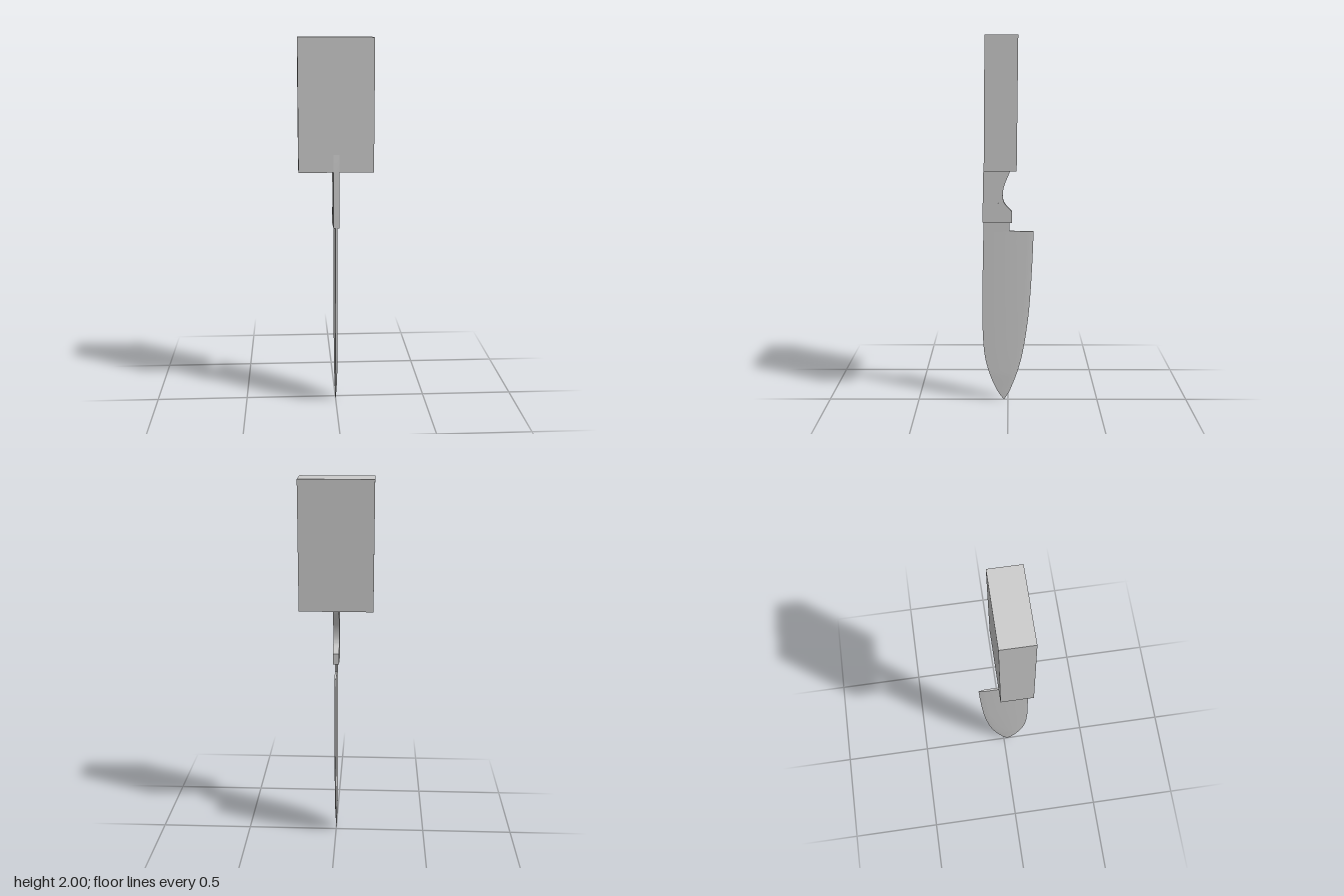
import * as THREE from 'three';
import { toCreasedNormals } from 'three/addons/utils/BufferGeometryUtils.js';

const material = new THREE.MeshStandardMaterial({ color: 0xcccccc });

function part(name, geometry) {
  const mesh = new THREE.Mesh(geometry, material);
  mesh.name = name;
  return mesh;
}

// Extrude a side outline drawn in (z, y), centred on x = 0
function sideExtrude(shape, thickness) {
  const g = new THREE.ExtrudeGeometry(shape, { depth: thickness, bevelEnabled: false, curveSegments: 12 });
  g.translate(0, 0, -thickness / 2);
  g.rotateY(-Math.PI / 2);
  return toCreasedNormals(g, 0.6);
}

// Blade: five-point cross-sections with a thin bevel along the cutting edge
function bladeGeometry() {
  const ys = [0.967, 0.8, 0.6, 0.45, 0.28, 0.17, 0.09, 0.04, 0];
  const spineZ = [0.133, 0.137, 0.14, 0.141, 0.132, 0.108, 0.078, 0.052, 0.023];
  const edgeZ = [-0.14, -0.134, -0.123, -0.109, -0.083, -0.055, -0.026, -0.004, 0.021];
  const curve = (zs) => new THREE.SplineCurve(ys.map((y, i) => new THREE.Vector2(zs[i], y)));
  const spine = curve(spineZ), edge = curve(edgeZ);
  const rows = 40, n = 5, pos = [], index = [];
  for (let i = 0; i <= rows; i++) {
    const s = spine.getPoint(i / rows), e = edge.getPoint(i / rows);
    const width = s.x - e.x;
    const t = Math.min(0.0055, 0.001 + width * 0.03);
    const bevel = Math.min(0.035, width * 0.4);
    const drop = i === 0 ? 0.006 : 0;
    pos.push(-t, s.y, s.x, -t, e.y - drop, e.x + bevel, 0, e.y - drop, e.x,
      t, e.y - drop, e.x + bevel, t, s.y, s.x);
  }
  for (let i = 0; i < rows; i++) {
    for (let j = 0; j < n; j++) {
      const k = (j + 1) % n;
      const a = i * n + j, b = a + n, c = i * n + k, d = c + n;
      index.push(a, c, b, c, d, b);
    }
  }
  for (let j = 1; j < n - 1; j++) index.push(0, j + 1, j);
  const g = new THREE.BufferGeometry();
  g.setAttribute('position', new THREE.Float32BufferAttribute(pos, 3));
  g.setIndex(index);
  return toCreasedNormals(g, 0.6);
}

export function createModel() {
  const model = new THREE.Group();
  model.name = 'knifeWithBlock';

  // Block around the grip, leaning very slightly
  const block = new THREE.BoxGeometry(0.395, 0.69, 0.17);
  block.translate(-0.001, 1.655, 0.036);
  const p = block.attributes.position;
  for (let i = 0; i < p.count; i++) {
    p.setZ(i, p.getZ(i) - (p.getY(i) - 1.655) * 0.01);
  }
  block.computeVertexNormals();
  model.add(part('block', block));

  // Handle with a finger groove, running up into the block
  const h = new THREE.Shape();
  h.moveTo(0.138, 1.013);
  h.lineTo(0.132, 1.3);
  h.lineTo(0.123, 1.41);
  h.lineTo(0.09, 1.8);
  h.lineTo(-0.02, 1.8);
  h.lineTo(-0.022, 1.34);
  h.bezierCurveTo(-0.016, 1.27, 0.028, 1.23, 0.028, 1.16);
  h.bezierCurveTo(0.028, 1.11, 0.002, 1.1, -0.022, 1.07);
  h.lineTo(-0.022, 1.01);
  h.closePath();
  model.add(part('handle', sideExtrude(h, 0.033)));

  // Rivet through the handle
  const rivet = new THREE.CylinderGeometry(0.025, 0.025, 0.0345, 24);
  rivet.rotateZ(Math.PI / 2);
  rivet.translate(0, 1.1, 0.07);
  model.add(part('rivet', rivet));

  // Neck joining blade and handle
  const neck = new THREE.Shape();
  neck.moveTo(0.133, 0.96);
  neck.lineTo(0.132, 1.04);
  neck.lineTo(-0.008, 1.04);
  neck.lineTo(-0.008, 0.96);
  neck.closePath();
  model.add(part('neck', sideExtrude(neck, 0.011)));

  model.add(part('blade', bladeGeometry()));
  return model;
}
